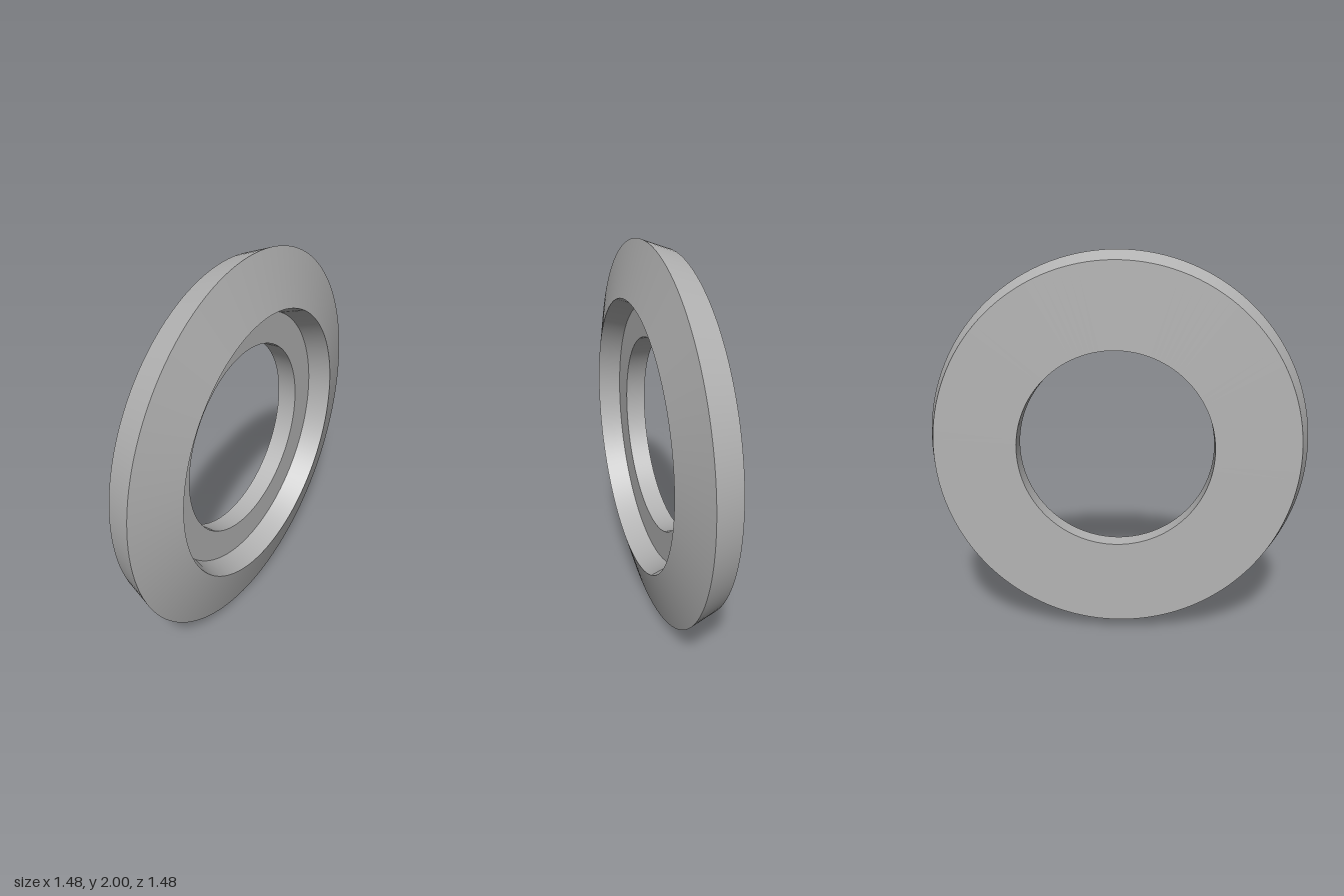
import * as THREE from 'three';

export function createModel() {
  const model = new THREE.Group();
  const ring = new THREE.Group();
  ring.name = 'bevelledRing';
  const grey = new THREE.MeshStandardMaterial({ color: 0xb4b4b4 });
  grey.name = 'grey';

  // closed cross-section [radius, height along the axis], from the back of the bore outward
  const profile = [
    ['backFace', 0.512, -0.099],
    ['outerRim', 0.948, -0.099],
    ['frontBevel', 1, 0.045],
    ['recessWall', 0.715, 0.127],
    ['recessFloor', 0.677, 0.009],
    ['bore', 0.512, 0.009],
  ];

  // one lathed band per edge keeps the circular edges sharp
  profile.forEach(([name, r, h], i) => {
    const [, r2, h2] = profile[(i + 1) % profile.length];
    const band = new THREE.LatheGeometry(
      [new THREE.Vector2(r, h), new THREE.Vector2(r2, h2)], 128);
    const mesh = new THREE.Mesh(band, grey);
    mesh.name = name;
    ring.add(mesh);
  });

  // stand upright, with the bevelled side turned towards +x +z
  ring.rotation.set(Math.PI / 2, Math.PI / 4, 0, 'YXZ');
  ring.position.y = 1;
  model.add(ring);
  return model;
}
